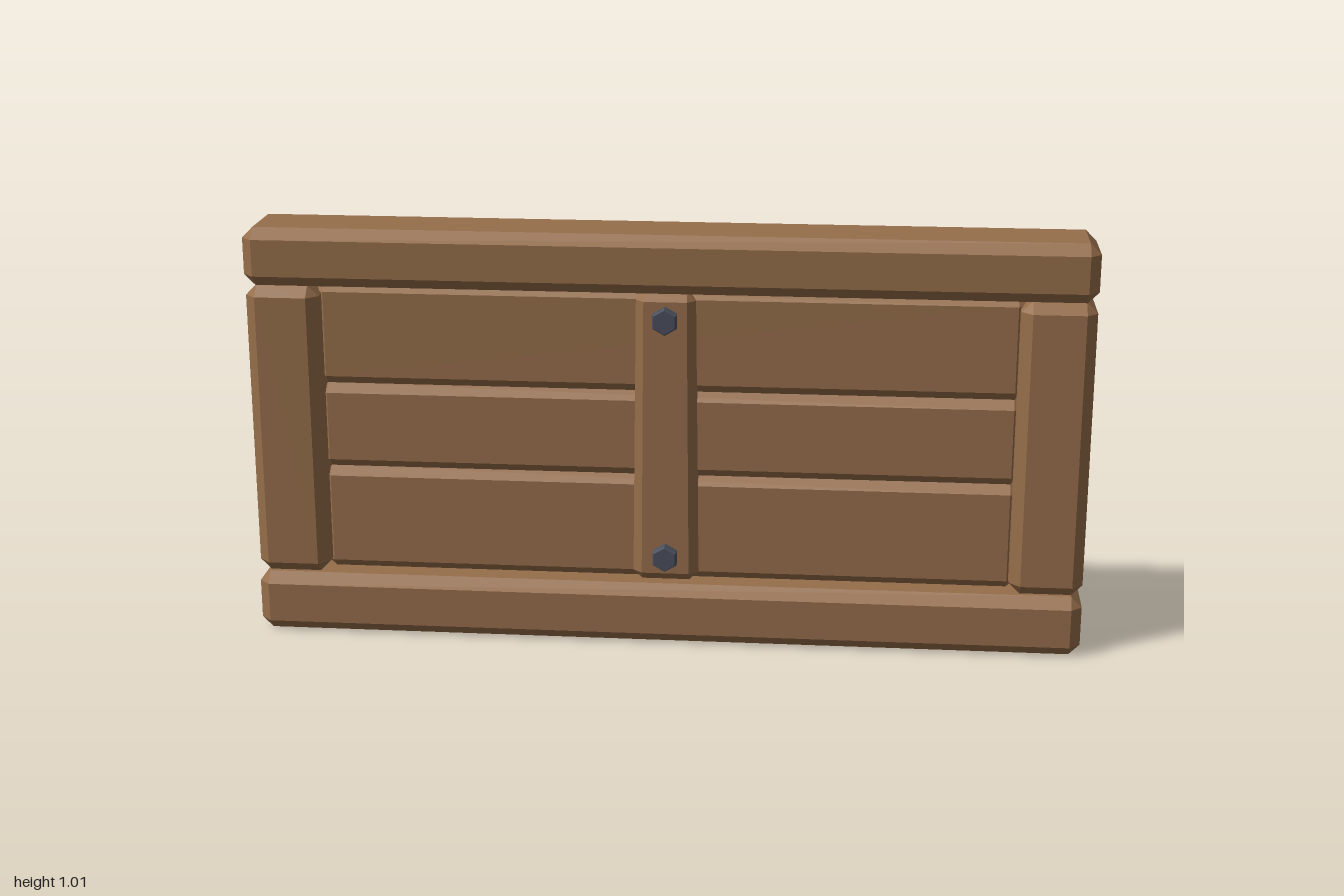
import * as THREE from 'three';
import { ConvexGeometry } from 'three/addons/geometries/ConvexGeometry.js';

const wood = new THREE.MeshStandardMaterial({ color: 0x966e4a });
wood.name = 'wood';
const iron = new THREE.MeshStandardMaterial({ color: 0x4a4f5e });
iron.name = 'iron';

// Box between two x, y and z limits with every edge cut by c (three points per corner).
// flare widens the bottom and narrows the top.
function beam(name, [x0, x1], [y0, y1], [z0, z1], c, flare = 0) {
  const half = new THREE.Vector3(x1 - x0, y1 - y0, z1 - z0).multiplyScalar(0.5);
  const points = [];
  for (const sx of [-1, 1]) for (const sy of [-1, 1]) for (const sz of [-1, 1]) {
    for (let axis = 0; axis < 3; axis++) {
      const p = new THREE.Vector3(half.x - c, half.y - c, half.z - c);
      p.setComponent(axis, half.getComponent(axis));
      p.multiply(new THREE.Vector3(sx, sy, sz));
      p.x *= 1 - flare * p.y / half.y;
      points.push(p);
    }
  }
  const mesh = new THREE.Mesh(new ConvexGeometry(points), wood);
  mesh.position.set((x0 + x1) / 2, (y0 + y1) / 2, (z0 + z1) / 2);
  mesh.name = name;
  return mesh;
}

export function createModel() {
  const model = new THREE.Group();
  model.name = 'woodenFence';

  // Rails along the bottom and the top
  model.add(beam('bottomRail', [-1, 1], [0, 0.148], [-0.105, 0.105], 0.026));
  model.add(beam('topRail', [-1, 1], [0.868, 1.008], [-0.1, 0.1], 0.026));

  // End posts
  model.add(beam('leftPost', [0.825, 1], [0.148, 0.868], [-0.093, 0.093], 0.026));
  model.add(beam('rightPost', [-1, -0.825], [0.148, 0.868], [-0.093, 0.093], 0.026));

  // Three planks between the rails
  const seams = [0.148, 0.408, 0.618, 0.868];
  for (let i = 0; i < 3; i++) {
    model.add(beam('plank' + (i + 1), [-0.842, 0.842], [seams[i], seams[i + 1]], [-0.045, 0.045], 0.021));
  }

  // Upright batten, showing on both faces
  model.add(beam('batten', [-0.075, 0.075], [0.15, 0.868], [-0.072, 0.072], 0.021, 0.06));

  // Hexagonal bolt heads, front and back
  const head = new THREE.CylinderGeometry(0.029, 0.033, 0.008, 6);
  const shank = new THREE.CylinderGeometry(0.033, 0.033, 0.025, 6);
  for (const side of [1, -1]) {
    for (const y of [0.215, 0.804]) {
      const bolt = new THREE.Group();
      bolt.name = (side > 0 ? 'front' : 'back') + (y < 0.5 ? 'LowerBolt' : 'UpperBolt');
      for (const [geometry, depth] of [[shank, 0.0775], [head, 0.0935]]) {
        const flat = geometry.toNonIndexed();
        flat.computeVertexNormals();
        const mesh = new THREE.Mesh(flat, iron);
        mesh.name = geometry === head ? 'boltFace' : 'boltBody';
        mesh.rotation.x = side * Math.PI / 2;
        mesh.position.z = side * depth;
        bolt.add(mesh);
      }
      bolt.position.y = y;
      model.add(bolt);
    }
  }
  return model;
}
